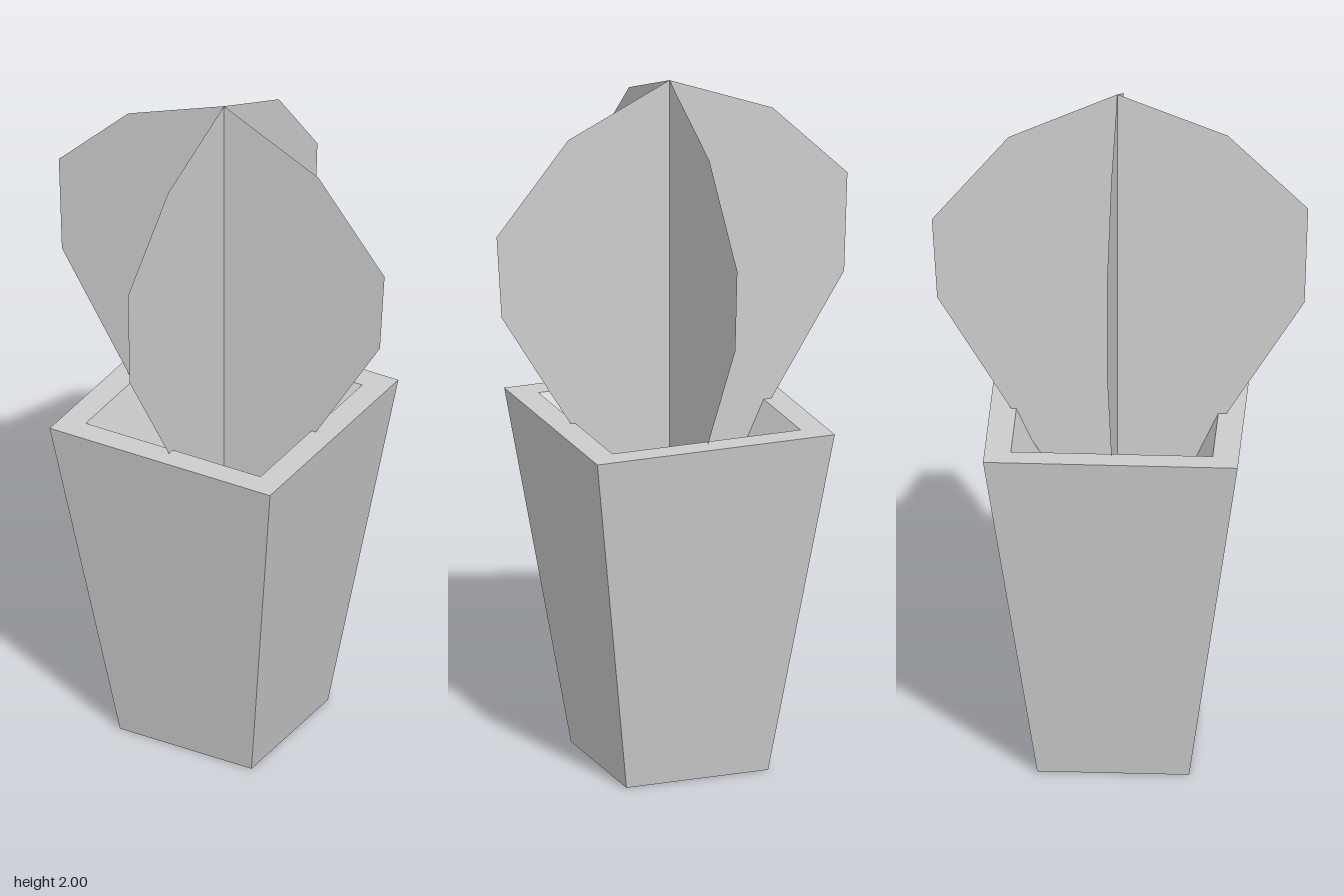
import * as THREE from 'three';

export function createModel() {
  const model = new THREE.Group();
  model.name = 'pottedPlant';

  const potGray = new THREE.MeshStandardMaterial({ color: 0xcccccc, flatShading: true });
  potGray.name = 'pot gray';
  const leafGray = new THREE.MeshStandardMaterial({ color: 0xcccccc, flatShading: true, side: THREE.DoubleSide });
  leafGray.name = 'leaf gray';

  // Square tapered pot: [half width, height] from the base, over the rim, down to the soil
  const profile = [[0, 0], [0.213, 0], [0.357, 1.02], [0.283, 1.02], [0.168, 0.77], [0, 0.77]]
    .map(([half, y]) => new THREE.Vector2(half * Math.SQRT2, y));
  const pot = new THREE.Mesh(new THREE.LatheGeometry(profile, 4, Math.PI / 4), potGray);
  pot.name = 'pot';

  // Leaf outline, standing on the soil
  const outline = [
    [-0.15, 0.77], [0.145, 0.77], [0.505, 1.36], [0.52, 1.6], [0.305, 1.86],
    [0, 2], [-0.31, 1.88], [-0.535, 1.66], [-0.525, 1.37],
  ].map(([x, y]) => new THREE.Vector2(x, y));
  const leafGeometry = new THREE.ShapeGeometry(new THREE.Shape(outline));

  // Two crossed upright leaf planes
  const plant = new THREE.Group();
  plant.name = 'plant';
  for (let i = 0; i < 2; i++) {
    const leaf = new THREE.Mesh(leafGeometry, leafGray);
    leaf.name = i ? 'sideLeaf' : 'frontLeaf';
    leaf.rotation.y = i * Math.PI / 2;
    plant.add(leaf);
  }

  model.add(pot, plant);
  for (const part of [pot, plant]) part.position.set(0.006, 0, -0.007);
  return model;
}
